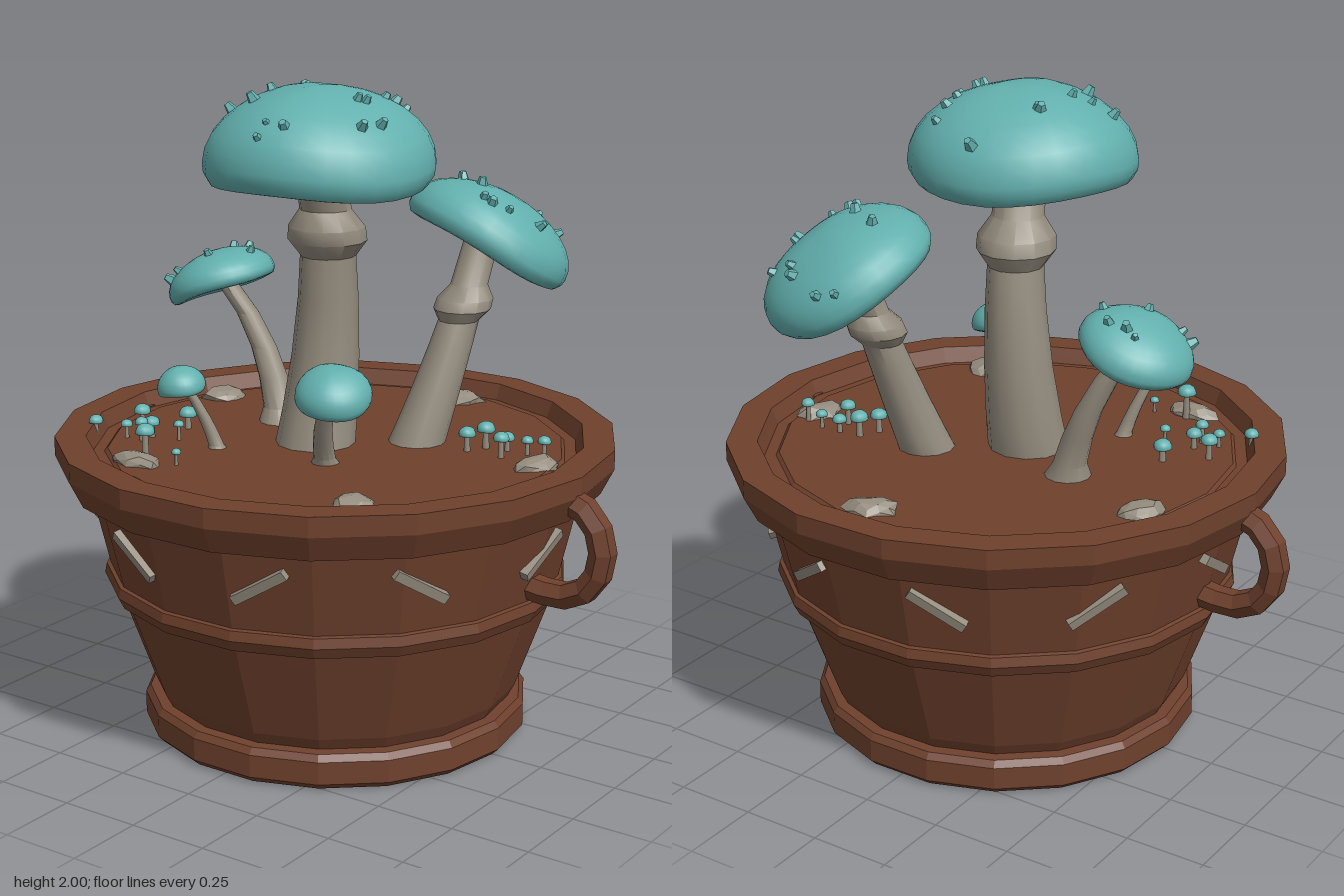
import * as THREE from 'three';
import { mergeVertices, toCreasedNormals } from 'three/addons/utils/BufferGeometryUtils.js';

const SOIL = 0.89;
const UP = new THREE.Vector3(0, 1, 0);

export function createModel() {
  const model = new THREE.Group();
  model.name = 'mushroomPot';
  const material = (name, color, flatShading = false) => {
    const m = new THREE.MeshStandardMaterial({ color, flatShading });
    m.name = name;
    return m;
  };
  const clay = material('brown clay', 0x6f412d, true);
  const teal = material('teal cap', 0x62b0ae);
  const stone = material('warm grey', 0x958d7f);

  const add = (name, geometry, mat, parent = model) => {
    const mesh = new THREE.Mesh(geometry, mat);
    mesh.name = name;
    parent.add(mesh);
    return mesh;
  };
  const addGroup = (name, parent = model) => {
    const group = new THREE.Group();
    group.name = name;
    parent.add(group);
    return group;
  };
  let seed = 7;
  const random = () => (seed = (seed * 16807) % 2147483647) / 2147483647;
  const welded = (g) => mergeVertices(g.deleteAttribute('uv').deleteAttribute('normal'));

  // Eighteen-sided pot parts, each from a radius/height profile
  const ring = (name, profile) => {
    const points = profile.map(([r, y]) => new THREE.Vector2(r, y));
    add(name, new THREE.LatheGeometry(points, 18, Math.PI / 18), clay);
  };
  ring('potFoot', [[0, 0], [0.58, 0], [0.6, 0.02], [0.6, 0.09], [0.585, 0.11], [0.5, 0.115]]);
  ring('potBody', [[0.55, 0.11], [0.572, 0.15], [0.69, 0.48], [0.77, 0.82]]);
  ring('potBand', [[0.67, 0.45], [0.7, 0.455], [0.718, 0.49], [0.712, 0.52], [0.68, 0.53]]);
  ring('potRim', [[0.74, 0.79], [0.82, 0.79], [0.86, 0.87], [0.86, 0.93], [0.765, 0.93], [0.745, 0.88]]);
  ring('soil', [[0.76, SOIL - 0.01], [0.71, SOIL - 0.01], [0.7, SOIL], [0, SOIL]]);

  // Chunky looped handles on both sides
  for (const side of [1, -1]) {
    const path = [];
    for (let i = 0; i <= 6; i++) {
      const a = THREE.MathUtils.degToRad(125 - 42 * i);
      path.push(new THREE.Vector3(side * (0.8 + 0.135 * Math.cos(a)), 0.71 + 0.15 * Math.sin(a), 0));
    }
    path[0].set(side * 0.74, 0.85, 0);
    path[6].set(side * 0.68, 0.57, 0);
    add(side > 0 ? 'leftHandle' : 'rightHandle',
      new THREE.TubeGeometry(new THREE.CatmullRomCurve3(path), 9, 0.042, 6), clay);
  }

  // Slanted inlaid bars, alternating direction around the pot
  for (let i = 0; i < 10; i++) {
    const holder = addGroup('barHolder');
    holder.rotation.y = THREE.MathUtils.degToRad(18 + 36 * i);
    const bar = add('inlaidBar', new THREE.BoxGeometry(0.19, 0.03, 0.04), stone, holder);
    bar.position.set(0, 0.675, 0.727);
    bar.rotation.set(0.21, 0, i % 2 ? -0.56 : 0.56);
  }

  // Tapered stem whose level rings follow a bend; collar is its place along the stem, if any
  const stem = (parent, base, bend, tip, r0, r1, collar = 0) => {
    const curve = new THREE.QuadraticBezierCurve3(...[base, bend, tip].map((v) => new THREE.Vector3(...v)));
    const steps = [0, 0.12, 0.3, 0.5];
    if (collar) steps.push(collar - 0.08, collar - 0.025, collar + 0.025, collar + 0.09);
    else steps.push(0.75);
    steps.push(1);
    const centres = steps.map((t) => curve.getPoint(t));
    const points = steps.map((t, j) => {
      const swell = Math.abs(t - collar) < 0.03 ? 1.45 : 1;
      return new THREE.Vector2((r1 + (r0 - r1) * (1 - t) ** 1.5) * swell, centres[j].y);
    });
    const g = new THREE.LatheGeometry(points, 12);
    const p = g.attributes.position;
    for (let i = 0; i < p.count; i++) {
      const c = centres[i % centres.length];
      p.setXYZ(i, p.getX(i) + c.x, p.getY(i), p.getZ(i) + c.z);
    }
    add('stem', toCreasedNormals(g, 0.6), stone, parent);
  };

  // Domed cap, shallow and hollow underneath, tilted to a normal, with warts on top
  const cap = (parent, at, normal, radius, height, warts = 0, sides = 28) => {
    const group = addGroup('cap', parent);
    group.position.set(...at);
    group.quaternion.setFromUnitVectors(UP, new THREE.Vector3(...normal).normalize());
    const domeY = (r) => height * (0.22 + 0.78 * Math.sqrt(1 - r ** 1.9));
    const points = [[0, 0.12], [0.5, 0.1], [0.86, 0], [0.94, 0.02], [0.99, 0.12]]
      .map(([r, y]) => new THREE.Vector2(r * radius, y * height));
    for (let i = 0; i <= 8; i++) {
      const r = Math.cos((i / 8) * Math.PI / 2);
      points.push(new THREE.Vector2(i < 8 ? r * radius : 0, i < 8 ? domeY(Math.min(r, 1)) : height));
    }
    const g = welded(new THREE.LatheGeometry(points, sides));
    const p = g.attributes.position;
    for (let i = 0; i < p.count; i++) {
      const a = Math.atan2(p.getX(i), p.getZ(i));
      const r = Math.hypot(p.getX(i), p.getZ(i)) / radius;
      p.setY(i, p.getY(i) + 0.03 * height * r * Math.sin(3 * a + 1));
    }
    g.computeVertexNormals();
    add('capDome', g, teal, group);
    for (let i = 0; i < warts; i++) {
      const a = i * 2.4 + random() * 0.8;
      const r = 0.4 + 0.52 * random();
      const s = 0.012 + 0.008 * random();
      const wart = add('wart', toCreasedNormals(new THREE.CylinderGeometry(s * 0.6, s * 1.3, s * 2.4, 5), 0.7), teal, group);
      wart.position.set(Math.sin(a) * r * radius, domeY(r), Math.cos(a) * r * radius);
      wart.quaternion.setFromUnitVectors(UP, new THREE.Vector3(Math.sin(a) * r, 0.9, Math.cos(a) * r).normalize());
    }
  };

  // Five main mushrooms
  const tall = addGroup('tallMushroom');
  stem(tall, [-0.06, 0.87, 0.03], [-0.045, 1.36, -0.08], [-0.01, 1.77, 0.07], 0.125, 0.075, 0.73);
  cap(tall, [0.005, 1.71, 0.095], [0.03, 1, 0], 0.345, 0.29, 17);

  const leaning = addGroup('leaningMushroom');
  stem(leaning, [0.19, 0.87, -0.15], [0.26, 1.19, -0.26], [0.28, 1.5, -0.38], 0.09, 0.054, 0.69);
  cap(leaning, [0.275, 1.46, -0.385], [0.4, 1, -0.43], 0.27, 0.195, 13);

  const side = addGroup('sideMushroom');
  stem(side, [-0.28, 0.87, -0.1], [-0.35, 1.14, -0.15], [-0.48, 1.32, -0.08], 0.055, 0.034);
  cap(side, [-0.485, 1.295, -0.075], [-0.4, 1, 0], 0.175, 0.13, 7);

  const front = addGroup('frontMushroom');
  stem(front, [0.09, 0.87, 0.18], [0.13, 1.03, 0.28], [0.195, 1.14, 0.3], 0.036, 0.023);
  cap(front, [0.205, 1.12, 0.305], [0.2, 1, 0.3], 0.113, 0.105);

  const small = addGroup('smallMushroom');
  stem(small, [-0.26, 0.87, 0.25], [-0.29, 0.99, 0.27], [-0.335, 1.09, 0.32], 0.026, 0.016);
  cap(small, [-0.34, 1.07, 0.325], [-0.1, 1, 0.1], 0.074, 0.08);

  // Tiny sprouts in two patches
  const sprout = (x, z, r, h) => {
    const group = addGroup('sprout');
    add('stem', new THREE.CylinderGeometry(r * 0.28, r * 0.4, h + 0.02, 6), stone, group)
      .position.set(x, SOIL + h / 2, z);
    cap(group, [x, SOIL + h, z], [0, 1, 0], r, r * 1.1, 0, 10);
  };
  sprout(-0.36, 0.48, 0.03, 0.08);
  const patches = [
    [[-0.47, 0.14], [-0.58, 0.23], [-0.5, 0.28], [-0.65, 0.37], [-0.5, 0.33], [-0.56, 0.33], [-0.41, 0.26], [-0.25, 0.47]],
    [[0.41, -0.21], [0.38, -0.15], [0.5, -0.15], [0.48, -0.22], [0.62, -0.2], [0.55, -0.22]],
  ];
  for (const patch of patches) {
    patch.forEach(([x, z], i) => sprout(x, z, 0.029 - 0.002 * i, 0.035 + 0.02 * random()));
  }

  // Low jagged stones lying in the soil: [x, z, width, depth]
  const rocks = [[0.05, -0.63, 0.085, 0.06], [-0.61, -0.22, 0.075, 0.06], [0.63, -0.13, 0.08, 0.06],
    [0.41, 0.5, 0.08, 0.065], [-0.36, 0.52, 0.09, 0.05]];
  rocks.forEach(([x, z, w, d], turn) => {
    const g = welded(new THREE.IcosahedronGeometry(1, 1));
    const p = g.attributes.position;
    for (let i = 0; i < p.count; i++) {
      const k = 0.8 + 0.3 * random();
      p.setXYZ(i, p.getX(i) * k, p.getY(i) * k, p.getZ(i) * k);
    }
    const rock = add('rock', toCreasedNormals(g, 0.05), stone);
    rock.scale.set(w, 0.035, d);
    rock.position.set(x, SOIL, z);
    rock.rotation.y = turn < 4 ? 0.4 + turn * 0.5 : 0;
  });
  return model;
}
